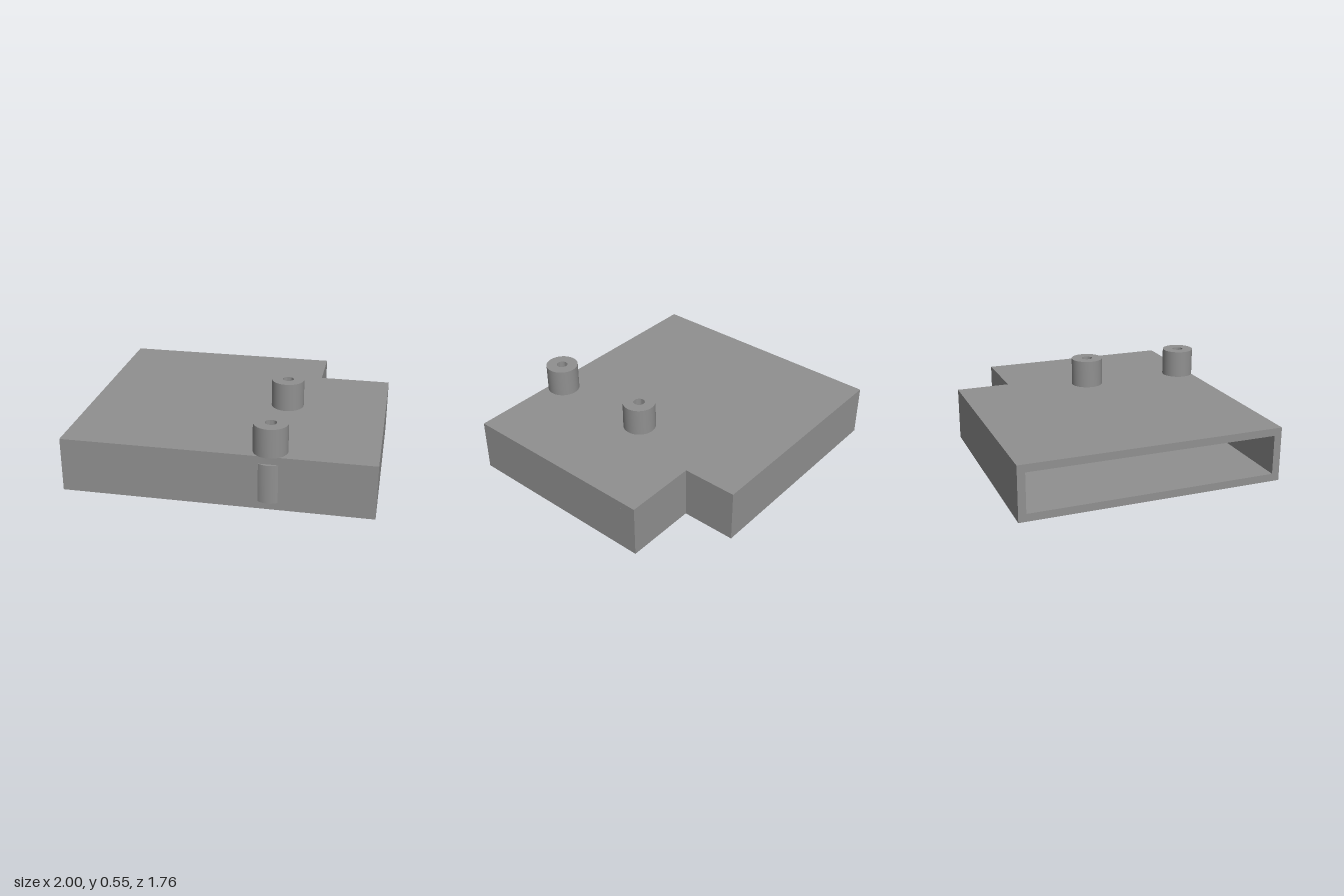
import * as THREE from 'three';
import { toCreasedNormals } from 'three/addons/utils/BufferGeometryUtils.js';

const WALL = 0.05, HEIGHT = 0.36;
const BOSS_R = 0.11, BORE_R = 0.037, BOSS_TOP = 0.55;
const BOSS_X = 0.335, BOSS_Z = [0.04, 0.77];

// Plan outlines, as [x, z]
const OUTLINE = [[-1, -0.88], [0.51, -0.88], [0.51, -0.51], [1, -0.51], [1, 0.86], [-1, 0.86]];
const WALLS = [
  ...OUTLINE,
  [-1, 0.86 - WALL], [1 - WALL, 0.86 - WALL], [1 - WALL, -0.51 + WALL],
  [0.51 - WALL, -0.51 + WALL], [0.51 - WALL, -0.88 + WALL], [-1, -0.88 + WALL],
];

// Flat plan extruded between two heights, with optional round holes
function slab(points, y0, y1, holes = []) {
  const shape = new THREE.Shape(points.map(([x, z]) => new THREE.Vector2(x, z)));
  for (const [x, z] of holes) {
    shape.holes.push(new THREE.Path().absarc(x, z, BORE_R, 0, Math.PI * 2, true));
  }
  const geo = new THREE.ExtrudeGeometry(shape, { depth: y1 - y0, bevelEnabled: false, curveSegments: 32 });
  geo.rotateX(Math.PI / 2);
  geo.translate(0, y1, 0);
  return geo;
}

// Thick round tube with flat ends
function tube(y0, y1) {
  const profile = [[BORE_R, y0], [BOSS_R, y0], [BOSS_R, y1], [BORE_R, y1], [BORE_R, y0]]
    .map(([r, y]) => new THREE.Vector2(r, y));
  return toCreasedNormals(new THREE.LatheGeometry(profile, 48), 0.6);
}

export function createModel() {
  const group = new THREE.Group();
  const grey = new THREE.MeshStandardMaterial({ color: 0x909090 });
  grey.name = 'grey';

  const add = (name, geometry, x = 0, z = 0) => {
    const mesh = new THREE.Mesh(geometry, grey);
    mesh.name = name;
    mesh.position.set(x, 0, z);
    group.add(mesh);
  };

  // Hollow notched housing, open on its -x side
  add('floor', slab(OUTLINE, 0, WALL));
  add('walls', slab(WALLS, WALL, HEIGHT - WALL));
  add('roof', slab(OUTLINE, HEIGHT - WALL, HEIGHT, BOSS_Z.map((z) => [BOSS_X, z])));

  // Bored bosses on the roof, each with a pillar below inside the housing
  for (const z of BOSS_Z) {
    add('boss', tube(HEIGHT, BOSS_TOP), BOSS_X, z);
    add('pillar', tube(WALL, HEIGHT - WALL), BOSS_X, z);
  }
  return group;
}
